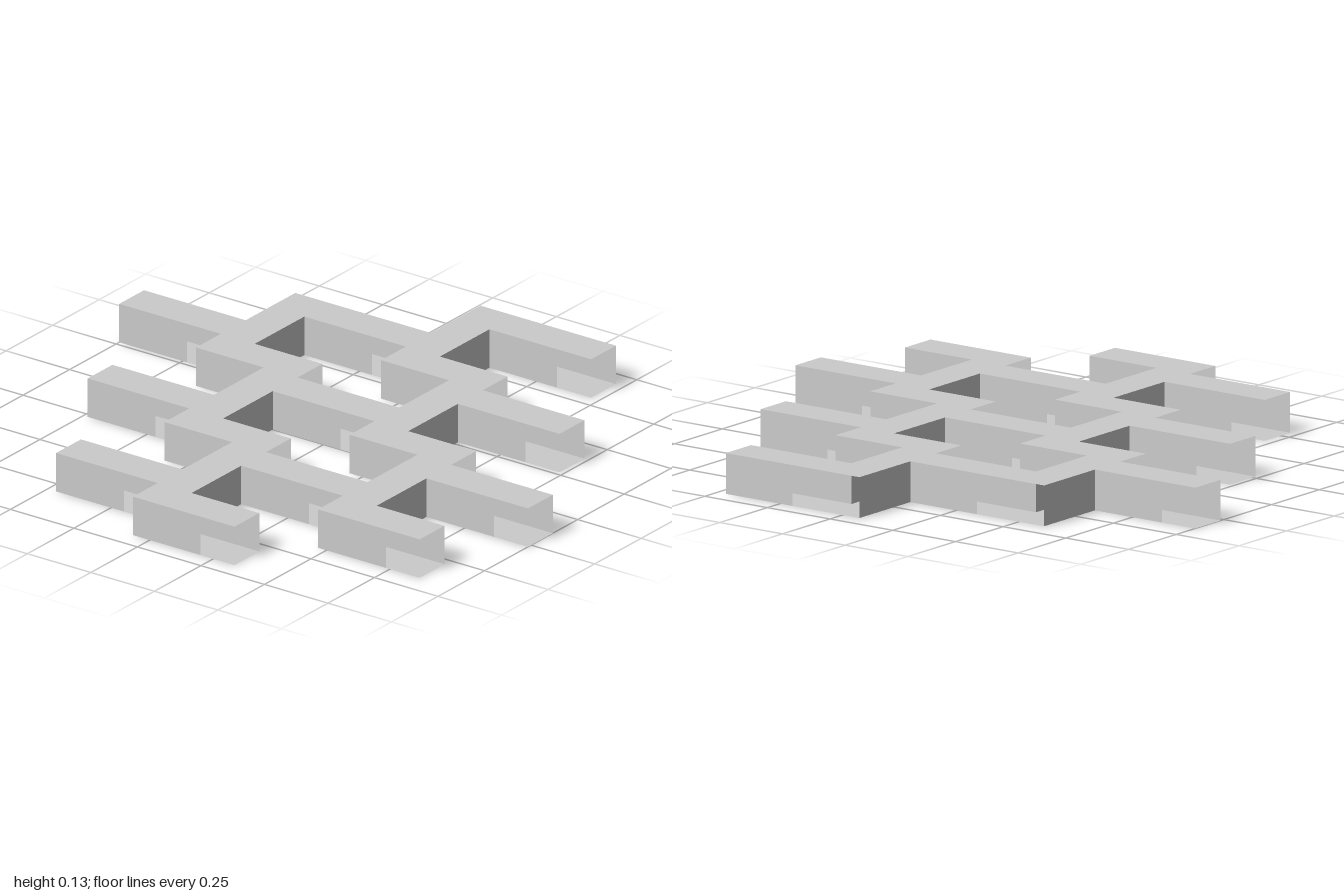
import * as THREE from 'three';

const U = 2 / 15; // grid cell, also the height of the lattice
const material = new THREE.MeshStandardMaterial({ color: 0xcccccc, flatShading: true, side: THREE.DoubleSide });

// Grid column / row to model coordinates
const gx = (col) => (col - 7) * U;
const gz = (row) => (row - 7.5) * U;

function panel(parent, name, w, h, x, y, z, rx = 0, ry = 0) {
  const mesh = new THREE.Mesh(new THREE.PlaneGeometry(w, h), material);
  mesh.name = name;
  mesh.position.set(x, y, z);
  mesh.rotation.set(rx, ry, 0);
  parent.add(mesh);
}

// Matching top and bottom plates over a block of cells
function plates(parent, col, row, cols, rows) {
  const x = gx(col + cols / 2), z = gz(row + rows / 2);
  panel(parent, 'topPlate', cols * U, rows * U, x, U, z, -Math.PI / 2);
  panel(parent, 'bottomPlate', cols * U, rows * U, x, 0, z, Math.PI / 2);
}

// Upright walls, each two cells long: sideWall runs along z, crossWall along x
function sideWall(parent, col, row, facing) {
  panel(parent, 'sideWall', 2 * U, U, gx(col), U / 2, gz(row + 1), 0, facing * Math.PI / 2);
}
function crossWall(parent, col, row, facing) {
  panel(parent, 'crossWall', 2 * U, U, gx(col + 1), U / 2, gz(row), 0, facing > 0 ? 0 : Math.PI);
}

// Three-cell channel along z, with staggered walls that leave one opening per side
function arm(col, row) {
  const g = new THREE.Group();
  g.name = 'longArm';
  plates(g, col, row, 1, 3);
  sideWall(g, col, row, -1);
  sideWall(g, col + 1, row + 1, 1);
  return g;
}

// Repeating unit: cross bar, rear arm and the short jog to the next unit
function unit(c, r) {
  const g = new THREE.Group();
  g.name = 'latticeUnit';

  const bar = new THREE.Group();
  bar.name = 'crossBar';
  plates(bar, c, r, 4, 1);
  crossWall(bar, c + 1, r + 1, 1);
  crossWall(bar, c + 2, r, -1);

  const jog = new THREE.Group();
  jog.name = 'shortJog';
  plates(jog, c, r + 1, 1, 2);
  sideWall(jog, c, r, -1);
  sideWall(jog, c + 1, r + 1, 1);

  g.add(bar, jog, arm(c + 1, r - 3));
  return g;
}

export function createModel() {
  const model = new THREE.Group();
  model.name = 'channelLattice';
  for (let j = 0; j < 2; j++) {
    for (let i = 0; i < 3; i++) {
      const c = 8 - 4 * i + 2 * j, r = 3 + 2 * i + 4 * j;
      model.add(unit(c, r));
      // Free arms along the front edge
      if (j === 1) model.add(arm(c + 3, r + 1));
    }
  }
  return model;
}
